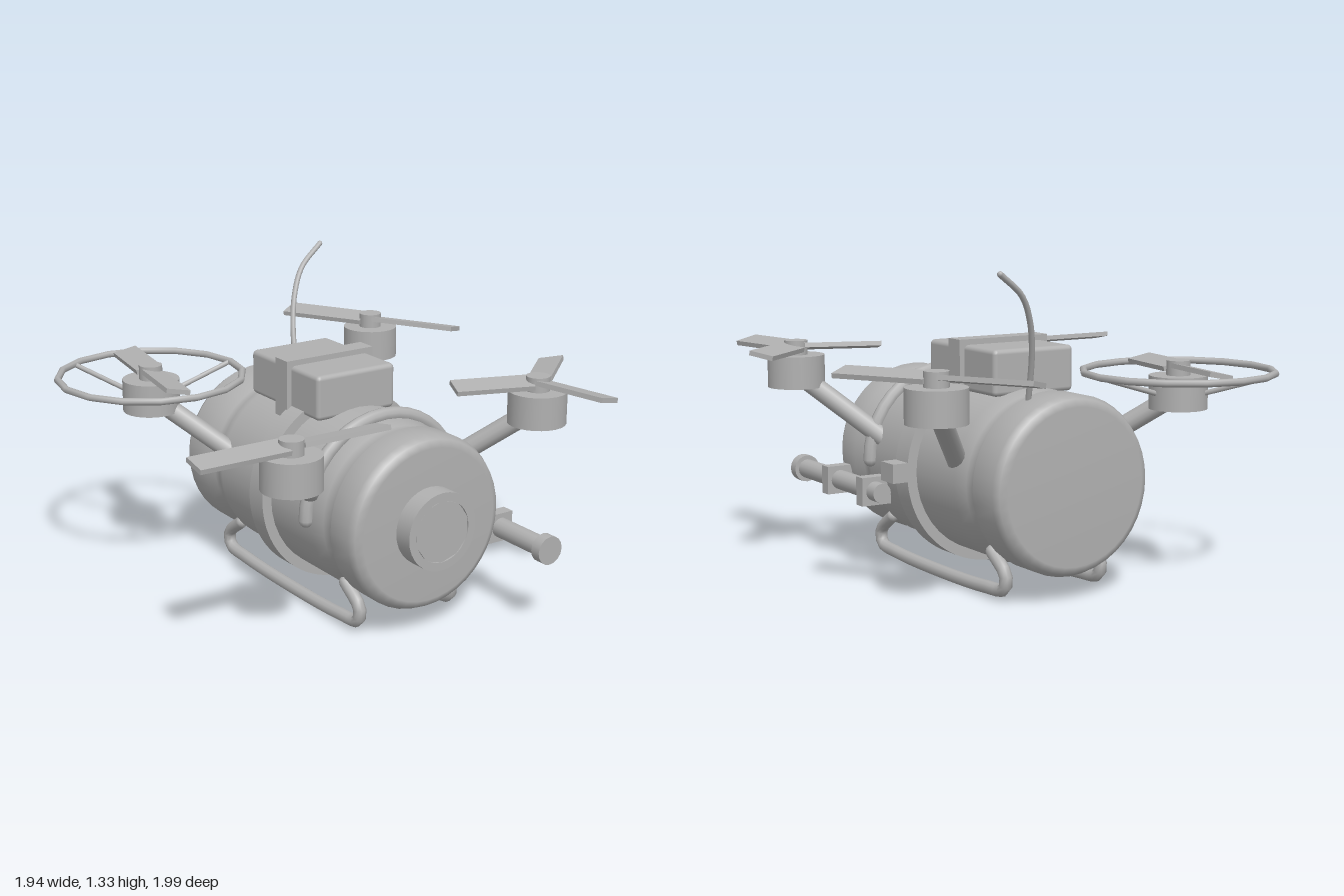
import * as THREE from 'three';
import { toCreasedNormals } from 'three/addons/utils/BufferGeometryUtils.js';
import { RoundedBoxGeometry } from 'three/addons/geometries/RoundedBoxGeometry.js';

const CX = 0.055, CY = 0.465; // axis of the main tank, running along z

export function createModel() {
  const model = new THREE.Group();
  const grey = new THREE.MeshStandardMaterial({ color: 0xb0b0b0 });
  grey.name = 'plain grey';

  const V = (x, y, z) => new THREE.Vector3(x, y, z);
  function add(name, geometry, x = 0, y = 0, z = 0, parent = model) {
    const mesh = new THREE.Mesh(geometry, grey);
    mesh.name = name;
    mesh.position.set(x, y, z);
    parent.add(mesh);
    return mesh;
  }
  const box = (name, x, y, z, w, h, d) => add(name, new THREE.BoxGeometry(w, h, d), x, y, z);
  // Cylinder between two points
  function rod(name, a, b, r, sides = 12) {
    const dir = b.clone().sub(a);
    const mesh = add(name, new THREE.CylinderGeometry(r, r, dir.length(), sides));
    mesh.position.copy(a).add(b).multiplyScalar(0.5);
    mesh.quaternion.setFromUnitVectors(V(0, 1, 0), dir.normalize());
    return mesh;
  }
  // Bent tube with closed ends
  function pipe(name, points, r, segments = 32) {
    const curve = new THREE.CatmullRomCurve3(points, false, 'centripetal');
    add(name, new THREE.TubeGeometry(curve, segments, r, 10));
    for (const p of [points[0], points[points.length - 1]]) {
      add(name + 'End', new THREE.SphereGeometry(r, 10, 6), p.x, p.y, p.z);
    }
  }
  // Profile of [radius, z] pairs turned around the z axis
  const turned = (profile, sides) => new THREE.LatheGeometry(
    profile.map(([r, z]) => new THREE.Vector2(r, z)), sides).rotateX(Math.PI / 2);

  // Tank with shallow grooves near both ends
  add('tank', turned([
    [0, -0.625], [0.32, -0.625], [0.35, -0.61], [0.365, -0.58], [0.365, -0.44], [0.34, -0.405],
    [0.345, -0.36], [0.365, -0.3], [0.365, 0.39], [0.345, 0.45], [0.34, 0.495], [0.365, 0.53],
    [0.365, 0.645], [0.35, 0.675], [0.32, 0.69], [0, 0.69]], 40), CX, CY, 0);

  // Front lens
  add('lensHousing', toCreasedNormals(turned([
    [0.163, 0.68], [0.163, 0.775], [0.128, 0.775], [0.128, 0.765], [0, 0.765]], 32), 0.6), CX, CY, 0);
  add('lens', new THREE.CylinderGeometry(0.13, 0.13, 0.012, 10).rotateX(Math.PI / 2), CX, CY, 0.766);

  // Band around the tank, open under the pack
  const gap = 1.12;
  const bandShape = new THREE.Shape();
  bandShape.absarc(0, 0, 0.408, gap, Math.PI - gap, true);
  bandShape.absarc(0, 0, 0.35, Math.PI - gap, gap + Math.PI * 2, false);
  const bandGeometry = new THREE.ExtrudeGeometry(bandShape, { depth: 0.1, bevelEnabled: false, curveSegments: 40 });
  add('band', toCreasedNormals(bandGeometry, 0.6), CX, CY, -0.005);
  box('bandClasp', 0.485, 0.47, 0.045, 0.09, 0.08, 0.1);

  // Half hoop over the front of the tank
  add('hoop', new THREE.TorusGeometry(0.375, 0.03, 10, 20, Math.PI), CX, CY, 0.37);
  for (const s of [-1, 1]) add('hoopEnd', new THREE.SphereGeometry(0.03, 10, 6), CX + s * 0.375, CY, 0.37);

  // Pack on top with its strap
  add('pack', new RoundedBoxGeometry(0.385, 0.19, 0.51, 2, 0.02), 0.043, 0.893, -0.055);
  box('packStrap', 0.043, 0.888, -0.04, 0.43, 0.246, 0.088);

  // Rotors: centre, motor base height, blade length, blade directions, arm foot
  const rotors = [
    { name: 'frontRight', x: -0.557, z: 0.635, y: 0.725, length: 0.42, angles: [0, Math.PI], foot: V(-0.26, 0.55, 0.33) },
    { name: 'backRight', x: -0.513, z: -0.54, y: 0.725, length: 0.343, angles: [-1.41, 1.73], foot: V(-0.26, 0.55, -0.27) },
    { name: 'backLeft', x: 0.68, z: -0.608, y: 0.77, length: 0.425, angles: [1.045, 1.045 + Math.PI], foot: V(0.38, 0.55, -0.26) },
    { name: 'frontLeft', x: 0.65, z: 0.62, y: 0.77, length: 0.362, angles: [-0.71, 1.385, 3.48], foot: V(0.37, 0.55, 0.33) },
  ];
  for (const { name, x, z, y, length, angles, foot } of rotors) {
    rod(name + 'Arm', foot, V(x, y + 0.06, z), 0.042);
    add(name + 'Motor', new THREE.CylinderGeometry(0.122, 0.122, 0.138, 24), x, y + 0.069, z);
    add(name + 'Hub', new THREE.CylinderGeometry(0.05, 0.05, 0.065, 16), x, y + 0.167, z);
    for (const angle of angles) {
      const blade = new THREE.BoxGeometry(length - 0.03, 0.02, 0.105);
      blade.rotateX(-0.2).translate((length + 0.03) / 2, 0, 0).rotateY(-angle);
      add(name + 'Blade', blade, x, y + 0.172, z);
    }
  }

  // Ring guard on the right rear rotor
  const guard = rotors[1];
  add('guardRing', new THREE.TorusGeometry(0.395, 0.015, 8, 16).rotateX(Math.PI / 2), guard.x, 0.878, guard.z);
  for (let i = 0; i < 3; i++) {
    const a = i * Math.PI * 2 / 3, c = Math.cos(a), s = Math.sin(a);
    rod('guardStrut', V(guard.x + c * 0.1, 0.79, guard.z + s * 0.1),
      V(guard.x + c * 0.395, 0.878, guard.z + s * 0.395), 0.011, 8);
  }

  // Landing skids
  for (const s of [-1, 1]) {
    const path = [[0.44, 0.19], [0.54, 0.11], [0.53, 0.055], [0.4, 0.036], [0.04, 0.027],
      [-0.32, 0.036], [-0.46, 0.055], [-0.47, 0.11], [-0.37, 0.19]];
    pipe('skid', path.map(([z, y]) => V(CX + s * 0.23, y, z)), 0.027, 40);
  }

  // Short whisker below the tank
  pipe('bellyWhisker', [V(CX, 0.12, -0.13), V(CX, 0.075, -0.03), V(CX, 0.055, 0.08)], 0.014, 12);

  // Side tube with flared head and two clamps
  rod('sideTube', V(0.468, 0.35, 0.2), V(0.468, 0.35, 0.93), 0.042, 16);
  rod('sideTubeHead', V(0.468, 0.35, 0.897), V(0.468, 0.35, 0.943), 0.06, 16);
  for (const z of [0.29, 0.605]) box('sideTubeClamp', 0.46, 0.35, z, 0.136, 0.122, 0.055);

  // Curved aerial
  pipe('aerial', [V(0.175, 0.78, -0.46), V(0.21, 1.0, -0.54), V(0.25, 1.13, -0.585),
    V(0.31, 1.23, -0.62), V(0.43, 1.318, -0.655)], 0.012, 24);

  return model;
}
